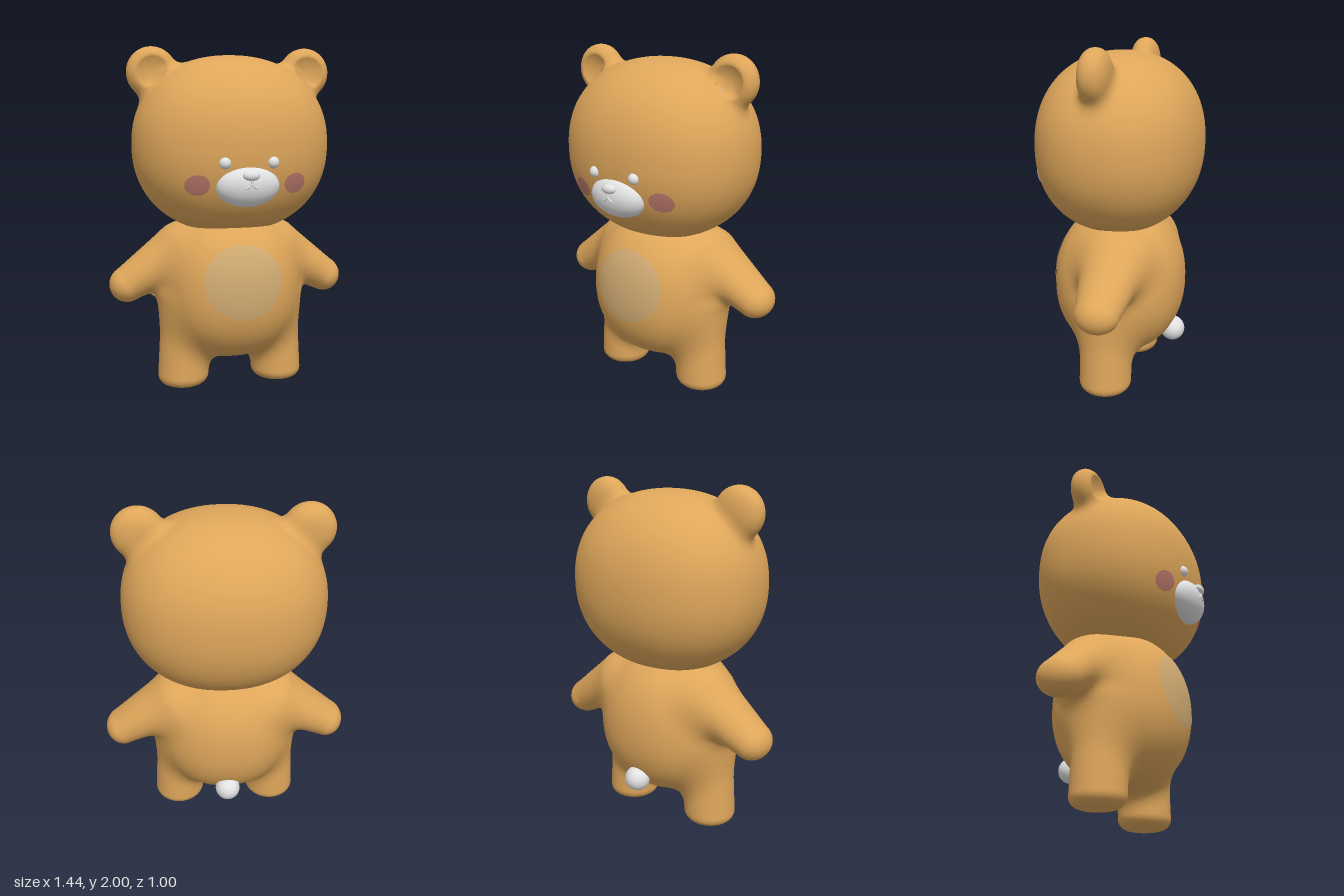
import * as THREE from 'three';

const mat = (name, color) => {
  const m = new THREE.MeshStandardMaterial({ color });
  m.name = name;
  return m;
};

// ---- soft shapes as distance-like fields (mirrored in x) ----
const superEllipsoid = (cy, cz, a, up, down, c, n, s) => (x, y, z) => {
  const b = y > cy ? up : down;
  return ((Math.abs(x / a) ** n + Math.abs((y - cy) / b) ** n + Math.abs((z - cz) / c) ** n) ** (1 / n) - 1) * s;
};
const smin = (a, b, k) => Math.min(a, b) - Math.max(k - Math.abs(a - b), 0) ** 2 / (4 * k);

const torso = superEllipsoid(0.6, -0.028, 0.412, 0.46, 0.435, 0.383, 2.2, 0.4);
const head = superEllipsoid(1.44, -0.03, 0.575, 0.515, 0.515, 0.47, 2.2, 0.5);

// tapered capsule from shoulder to paw, a little deeper in z
const arm = (x, y, z) => {
  const px = Math.abs(x) - 0.3, py = y - 0.81, dx = 0.315, dy = -0.195;
  const t = THREE.MathUtils.clamp((px * dx + py * dy) / (dx * dx + dy * dy), 0, 1);
  return Math.hypot(px - dx * t, py - dy * t, (z + 0.09) / 1.2) - (0.16 - 0.055 * t);
};
// upright rounded cylinder, leaning slightly inwards
const leg = (x, y, z) => {
  const e = 0.06;
  const dx = Math.hypot(Math.abs(x) - 0.295 + 0.06 * y, z + 0.025) - (0.153 - e);
  const dy = Math.abs(y - 0.3) - (0.3 - e);
  return Math.min(Math.max(dx, dy), 0) + Math.hypot(Math.max(dx, 0), Math.max(dy, 0)) - e;
};
// flattened ball with a hollow in the front
const EAR = [0.455, 1.855, -0.035];
const ear = (x, y, z) => {
  const px = Math.abs(x) - EAR[0], py = y - EAR[1], pz = z - EAR[2];
  const r = Math.hypot(px, py);
  const ball = (((r / 0.145) ** 2.3 + Math.abs(pz / 0.085) ** 2.3) ** (1 / 2.3) - 1) * 0.1;
  const hollow = (Math.hypot(r / 0.088, (pz - 0.09) / 0.07) - 1) * 0.075;
  return -smin(-ball, hollow, 0.025);
};

const BODY_BLEND = 0.1, HEAD_BLEND = 0.06;
const body = (x, y, z) => smin(smin(torso(x, y, z), arm(x, y, z), BODY_BLEND), leg(x, y, z), BODY_BLEND);
const headAndEars = (x, y, z) => smin(head(x, y, z), ear(x, y, z), HEAD_BLEND);

const gradient = (f, p) => {
  const e = 0.001;
  return new THREE.Vector3(
    f(p.x + e, p.y, p.z) - f(p.x - e, p.y, p.z),
    f(p.x, p.y + e, p.z) - f(p.x, p.y - e, p.z),
    f(p.x, p.y, p.z + e) - f(p.x, p.y, p.z - e)
  ).divideScalar(2 * e);
};
const settle = (f, p) => {
  for (let i = 0; i < 12; i++) {
    const g = gradient(f, p);
    const step = f(p.x, p.y, p.z) / Math.max(g.lengthSq(), 0.02);
    p.addScaledVector(g, -THREE.MathUtils.clamp(step, -0.3, 0.3));
  }
};

// Shrink a rough geometry onto its own shape, then fillet it into its neighbours
function mould(geo, own, whole, blend) {
  const pos = geo.attributes.position, nor = geo.attributes.normal;
  const p = new THREE.Vector3();
  for (let i = 0; i < pos.count; i++) {
    p.fromBufferAttribute(pos, i);
    settle(own, p);
    if (whole(p.x, p.y, p.z) > -0.6 * blend) settle(whole, p);
    const n = gradient(whole, p).normalize();
    pos.setXYZ(i, p.x, p.y, p.z);
    nor.setXYZ(i, n.x, n.y, n.z);
  }
  return geo;
}

// Thin oval patch lying on the front of a shape
function patch(f, cx, cy, rx, ry, zMin, lift = 0.004) {
  const geo = new THREE.RingGeometry(0, 1, 48, 10);
  const pos = geo.attributes.position, nor = geo.attributes.normal;
  const p = new THREE.Vector3();
  for (let i = 0; i < pos.count; i++) {
    const x = cx + pos.getX(i) * rx, y = cy + pos.getY(i) * ry;
    let lo = zMin, hi = 0.8;
    for (let k = 0; k < 30; k++) {
      const mid = (lo + hi) / 2;
      if (f(x, y, mid) < 0) lo = mid; else hi = mid;
    }
    p.set(x, y, lo);
    const n = gradient(f, p).normalize();
    p.addScaledVector(n, lift);
    pos.setXYZ(i, p.x, p.y, p.z);
    nor.setXYZ(i, n.x, n.y, n.z);
  }
  return geo;
}

export function createModel() {
  const group = new THREE.Group();
  const fur = mat('honey fur', 0xdea65a);
  const white = mat('soft white', 0xe2e2e2);
  const tan = mat('pale tan', 0xd0aa72);
  const blush = mat('blush', 0xbd7a6c);

  const add = (name, geo, material) => {
    const mesh = new THREE.Mesh(geo, material);
    mesh.name = name;
    group.add(mesh);
    return mesh;
  };
  const ball = (name, x, y, z, rx, ry = rx, rz = rx) => {
    const mesh = add(name, new THREE.SphereGeometry(1, 32, 24), white);
    mesh.position.set(x, y, z);
    mesh.scale.set(rx, ry, rz);
    return mesh;
  };
  const blob = (w, h, sx, sy, sz) => new THREE.SphereGeometry(1, w, h).scale(sx, sy, sz);

  // torso and head
  add('torso', mould(blob(96, 72, 0.43, 0.46, 0.4).translate(0, 0.6, -0.03), torso, body, BODY_BLEND), fur);
  add('head', mould(blob(96, 72, 0.59, 0.53, 0.49).translate(0, 1.44, -0.03), head, headAndEars, HEAD_BLEND), fur);

  for (const s of [1, -1]) {
    const side = s > 0 ? 'left' : 'right';

    // limbs
    const armGeo = blob(56, 48, 0.36, 0.21, 0.23).rotateZ(-0.55 * s).translate(0.455 * s, 0.71, -0.09);
    add(side + 'Arm', mould(armGeo, arm, body, BODY_BLEND), fur);
    const legGeo = blob(56, 64, 0.24, 0.42, 0.24).translate(0.277 * s, 0.3, -0.025);
    add(side + 'Leg', mould(legGeo, leg, body, BODY_BLEND), fur);

    // ears with a pale floor in the hollow
    const earGeo = new THREE.SphereGeometry(1, 56, 56).rotateX(Math.PI / 2)
      .scale(0.16, 0.16, 0.1).translate(EAR[0] * s, EAR[1], EAR[2]);
    add(side + 'Ear', mould(earGeo, ear, headAndEars, HEAD_BLEND), fur);
    add(side + 'InnerEar', patch(headAndEars, EAR[0] * s, EAR[1] - 0.005, 0.05, 0.05, EAR[2] - 0.03, 0.002), tan);

    // eyes and cheeks
    ball(side + 'Eye', 0.133 * s, 1.37, 0.42, 0.033);
    add(side + 'Cheek', patch(head, 0.272 * s, 1.25, 0.065, 0.057, 0), blush);
  }

  add('bellyPatch', patch(body, 0, 0.685, 0.222, 0.21, 0), tan);

  // muzzle, nose and mouth
  ball('muzzle', 0, 1.24, 0.385, 0.178, 0.118, 0.095).rotation.x = 0.3;
  ball('nose', 0, 1.305, 0.468, 0.047, 0.029, 0.031);
  const line = (name, pts) => {
    const curve = new THREE.CatmullRomCurve3(pts.map((p) => new THREE.Vector3(...p)));
    add(name, new THREE.TubeGeometry(curve, 12, 0.006, 8), white);
  };
  line('mouthStem', [[0, 1.285, 0.48], [0, 1.257, 0.482]]);
  line('mouth', [[-0.032, 1.237, 0.477], [-0.016, 1.244, 0.481], [0, 1.258, 0.483], [0.016, 1.244, 0.481], [0.032, 1.237, 0.477]]);

  ball('tail', 0, 0.31, -0.355, 0.073);
  return group;
}
